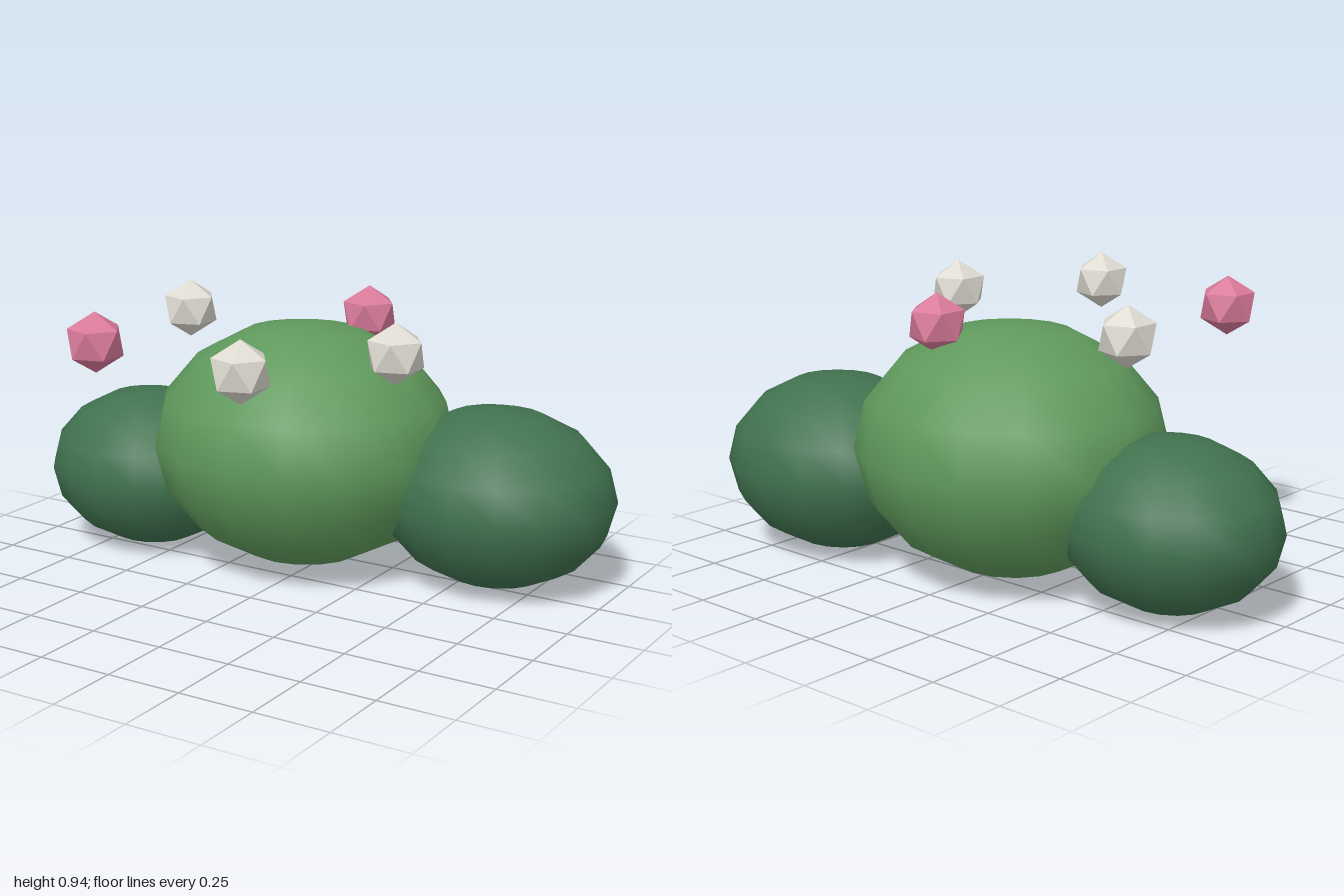
import * as THREE from 'three';

const paint = (name, color, flatShading = false) => {
  const m = new THREE.MeshStandardMaterial({ color, flatShading });
  m.name = name;
  return m;
};

export function createModel() {
  const bush = new THREE.Group();
  bush.name = 'floweringBush';

  const leaf = paint('leaf green', 0x5f995c);
  const darkLeaf = paint('dark leaf green', 0x41724f);
  const pink = paint('pink', 0xd97a9a, true);
  const cream = paint('cream', 0xdedbd2, true);

  const add = (name, geometry, material, position) => {
    const mesh = new THREE.Mesh(geometry, material);
    mesh.name = name;
    mesh.position.set(...position);
    bush.add(mesh);
    return mesh;
  };

  // Foliage clumps: smooth, squashed spheres
  const ball = new THREE.SphereGeometry(1, 16, 8);
  const clump = (name, material, position, radii) =>
    add(name, ball, material, position).scale.set(...radii);
  clump('middleClump', leaf, [-0.05, 0.43, -0.165], [0.52, 0.41, 0.493]);
  clump('rightClump', darkLeaf, [-0.635, 0.278, -0.093], [0.365, 0.273, 0.328]);
  clump('leftClump', darkLeaf, [0.6, 0.303, -0.31], [0.4, 0.296, 0.355]);

  // Blossoms: faceted icosahedra with one corner pointing straight up
  const blossom = new THREE.IcosahedronGeometry(0.098, 0);
  blossom.rotateX(-Math.atan((1 + Math.sqrt(5)) / 2));
  blossom.rotateY(Math.PI / 2);
  [
    [-0.49, -0.135, cream],
    [-0.425, 0.477, pink],
    [0.083, -0.365, pink],
    [0.187, 0.577, cream],
    [0.455, 0.127, cream],
  ].forEach(([x, z, material], i) => add(`blossom${i + 1}`, blossom, material, [x, 0.844, z]));

  return bush;
}
